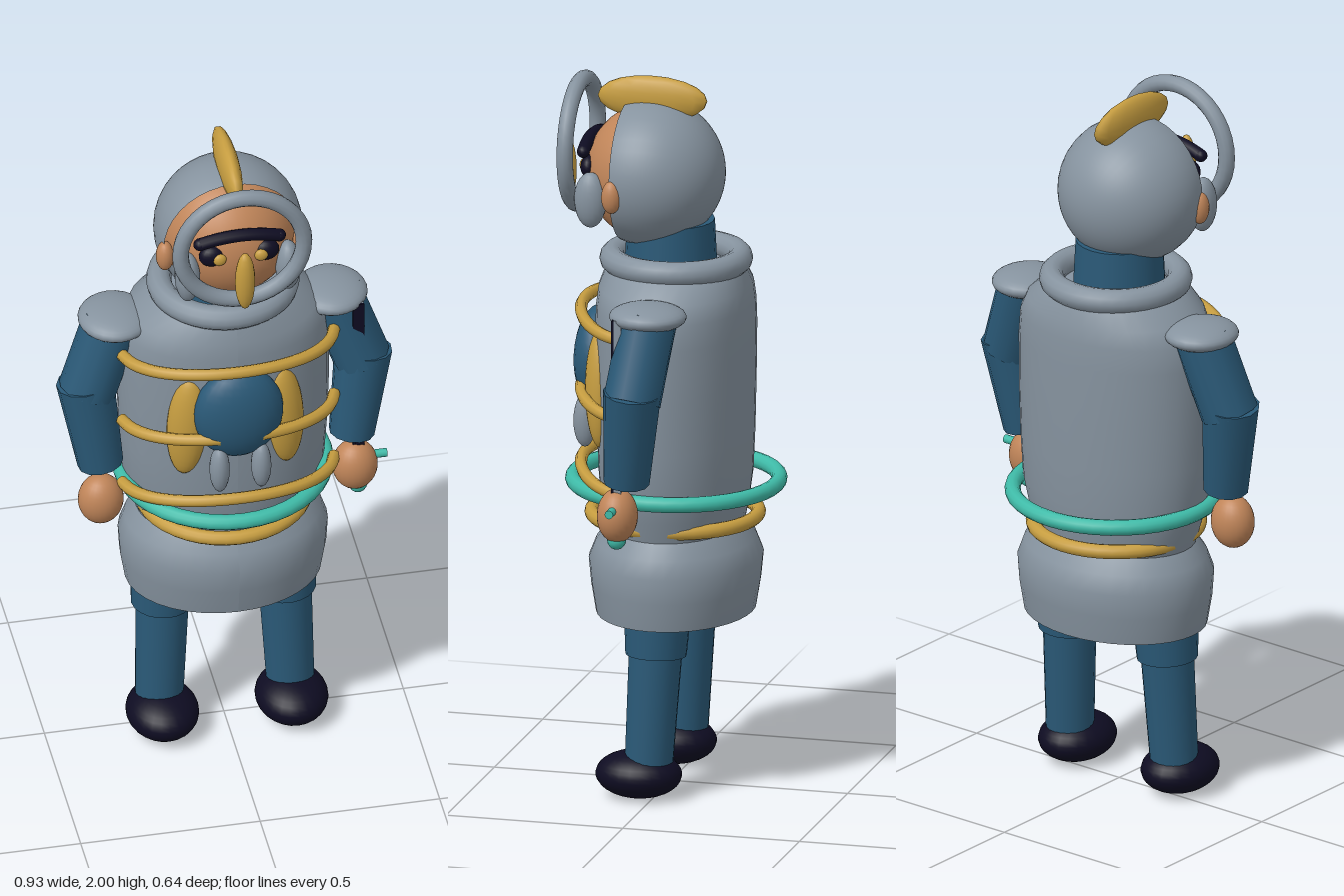
import * as THREE from 'three';

const mat = (name, color) => {
  const m = new THREE.MeshStandardMaterial({ color });
  m.name = name;
  return m;
};
const V = (x, y, z) => new THREE.Vector3(x, y, z);

export function createModel() {
  const root = new THREE.Group();
  root.name = 'armouredFigure';
  const steel = mat('steelGrey', 0x86939f);
  steel.side = THREE.DoubleSide;
  const cloth = mat('clothBlue', 0x2a5977);
  const gold = mat('gold', 0xc69d40);
  const skin = mat('skin', 0xc08559);
  const teal = mat('teal', 0x3fbba8);
  const black = mat('nearBlack', 0x0e0c22);

  const add = (name, geo, m, x = 0, y = 0, z = 0) => {
    const mesh = new THREE.Mesh(geo, m);
    mesh.name = name;
    mesh.position.set(x, y, z);
    root.add(mesh);
    return mesh;
  };
  const ball = (name, m, [x, y, z], [rx, ry, rz], seg = 24) =>
    add(name, new THREE.SphereGeometry(1, seg, Math.ceil(seg * 0.7)).scale(rx, ry, rz), m, x, y, z);
  // tapered cylinder between two points
  const limb = (name, m, a, b, ra, rb, seg = 16) => {
    const d = b.clone().sub(a);
    const mesh = add(name, new THREE.CylinderGeometry(rb, ra, d.length(), seg), m);
    mesh.position.copy(a).addScaledVector(d, 0.5);
    mesh.quaternion.setFromUnitVectors(V(0, 1, 0), d.normalize());
    return mesh;
  };
  // closed body from elliptical sections [y, half width, half depth], bottom to top
  const loft = (name, m, rows, z) => {
    const n = rows.length - 1;
    const geo = new THREE.CylinderGeometry(1, 1, 1, 36, n);
    const p = geo.attributes.position;
    for (let i = 0; i < p.count; i++) {
      const [y, rx, rz] = rows[Math.round((p.getY(i) + 0.5) * n)];
      p.setXYZ(i, p.getX(i) * rx, y, p.getZ(i) * rz);
    }
    geo.computeVertexNormals();
    return add(name, geo, m, 0, 0, z);
  };
  const ring = (name, m, R, r, y, z, flat = true) => {
    const geo = new THREE.TorusGeometry(R, r, 12, 40);
    if (flat) geo.rotateX(Math.PI / 2);
    return add(name, geo, m, 0, y, z);
  };

  // Torso armour and skirt
  loft('skirt', steel, [[0.5, 0.272, 0.215], [0.58, 0.285, 0.228], [0.65, 0.289, 0.235],
    [0.7, 0.272, 0.215], [0.745, 0.24, 0.185]], -0.015);
  loft('breastplate', steel, [[0.72, 0.235, 0.18], [0.8, 0.26, 0.195], [0.88, 0.28, 0.205],
    [1.0, 0.288, 0.21], [1.15, 0.293, 0.213], [1.3, 0.293, 0.215], [1.37, 0.287, 0.213],
    [1.42, 0.262, 0.208], [1.47, 0.2, 0.19]], -0.015);
  ring('collar', steel, 0.175, 0.035, 1.49, -0.015);
  add('neck', new THREE.CylinderGeometry(0.12, 0.13, 0.2, 24), cloth, 0, 1.5, 0);

  // Belt and bands
  ring('belt', teal, 0.282, 0.022, 0.865, -0.015);
  ring('waistBand', gold, 0.228, 0.02, 0.77, -0.012);
  for (const [y, drop] of [[1.36, 0.035], [1.135, 0.035], [0.925, 0.04]]) {
    const pts = [];
    for (let i = 0; i <= 12; i++) {
      const a = (i / 12 - 0.5) * Math.PI * 0.9;
      const s = Math.sin(a);
      pts.push(V(0.3 * s, y - drop * s * s, 0.02 + 0.22 * Math.cos(a)));
    }
    add('chestBand', new THREE.TubeGeometry(new THREE.CatmullRomCurve3(pts), 36, 0.017, 8), gold);
  }

  // Raised chest ornament
  ball('chestBoss', cloth, [0, 1.195, 0.2], [0.125, 0.145, 0.068]);

  for (const s of [-1, 1]) {
    const wing = ball('chestWing', gold, [s * 0.135, 1.14, 0.163], [0.056, 0.165, 0.042]);
    wing.rotation.set(0, s * 0.3, s * 0.06);
    ball('chestPendant', steel, [s * 0.058, 1.025, 0.228], [0.028, 0.075, 0.032], 16);

    // Arms
    ball('shoulderPad', steel, [s * 0.302, 1.403, -0.017], [0.1, 0.038, 0.107]);
    limb('upperArm', cloth, V(s * 0.305, 1.4, -0.02), V(s * 0.383, 1.18, 0.006), 0.08, 0.08, 12);
    limb('forearm', cloth, V(s * 0.388, 1.21, 0.004), V(s * 0.35, 0.942, 0.03), 0.08, 0.063, 12);
    const hx = s * 0.354, hy = s > 0 ? 0.848 : 0.838;
    ball('hand', skin, [hx, hy, 0.055], [0.063, 0.076, 0.056]);

    // Legs
    limb('thigh', cloth, V(s * 0.173, 0.41, -0.005), V(s * 0.163, 0.62, -0.01), 0.084, 0.098, 20);
    limb('shin', cloth, V(s * 0.183, 0.09, 0.013), V(s * 0.17, 0.45, -0.005), 0.066, 0.074, 20);
    ball('shoe', black, [s * 0.18, 0.07, 0.042], [0.1, 0.066, 0.12]);

    // Paired head parts
    ball('ear', skin, [s * 0.188, 1.7, 0.118], [0.025, 0.046, 0.028], 16);
    ball('cheekGuard', steel, [s * 0.14, 1.675, 0.19], [0.035, 0.078, 0.045], 18);
    ball('eye', black, [s * 0.075, 1.752, 0.21], [0.037, 0.032, 0.024], 18);
    ball('pupil', gold, [s * 0.058, 1.75, 0.23], [0.019, 0.018, 0.012], 14);
  }

  // Head
  ball('head', skin, [0, 1.728, 0.045], [0.188, 0.193, 0.19], 36);
  add('helmet', new THREE.SphereGeometry(0.204, 36, 24, 0, Math.PI * 2, 1.23, Math.PI - 1.23)
    .rotateX(Math.PI / 2), steel, 0, 1.728, 0.056);
  ball('crest', gold, [0, 1.936, 0.052], [0.03, 0.063, 0.157], 14);
  const brow = new THREE.QuadraticBezierCurve3(V(-0.11, 1.802, 0.218), V(0, 1.838, 0.226), V(0.11, 1.802, 0.218));
  add('brow', new THREE.TubeGeometry(brow, 16, 0.018, 10), black);
  for (const s of [-1, 1]) ball('browEnd', black, [s * 0.11, 1.802, 0.218], [0.019, 0.018, 0.018], 12);
  ball('nose', gold, [0, 1.717, 0.293], [0.028, 0.094, 0.025], 14);
  ring('faceRing', steel, 0.172, 0.023, 1.8, 0.254, false);

  // Sword held upright in the left hand
  const sx = 0.362, sz = 0.05;
  add('blade', new THREE.BoxGeometry(0.03, 0.52, 0.022), steel, sx, 1.145, sz);
  add('bladeFace', new THREE.BoxGeometry(0.032, 0.52, 0.006), black, sx, 1.145, sz + 0.013);
  limb('swordGuard', teal, V(0.285, 0.873, 0.055), V(0.443, 0.873, 0.055), 0.012, 0.012, 12);
  limb('swordGrip', black, V(sx, 0.78, 0.055), V(sx, 0.96, 0.055), 0.014, 0.014, 12);
  ball('pommel', teal, [sx, 0.78, 0.055], [0.026, 0.026, 0.026], 14);

  return root;
}
